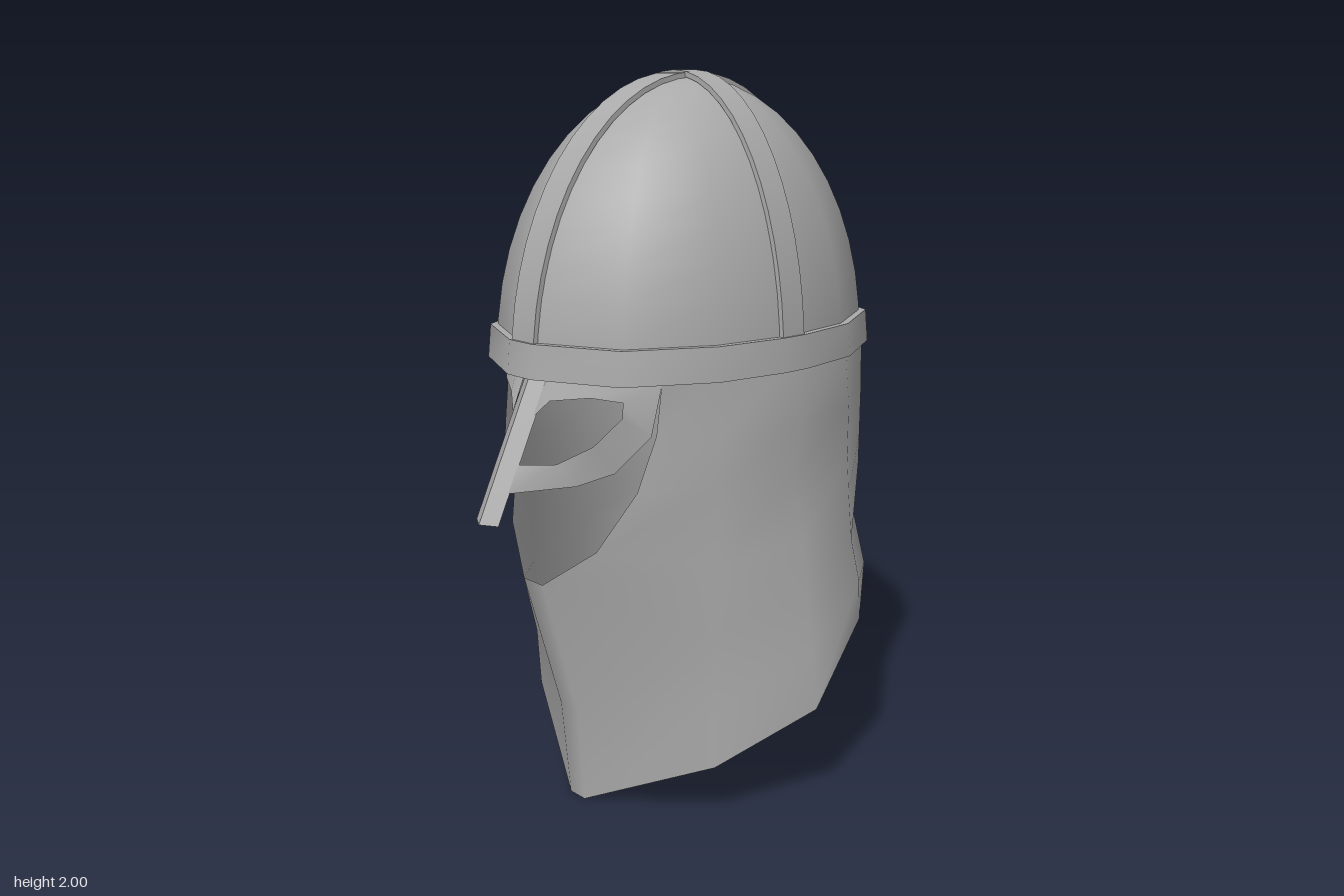
import * as THREE from 'three';
import { mergeVertices, toCreasedNormals } from 'three/addons/utils/BufferGeometryUtils.js';

const CZ = -0.07; // middle of the skull cap along z

// Surface through rows of points; keep(i, j) can leave quads out
function grid(rows, closed, keep = () => true) {
  const n = rows[0].length, index = [];
  for (let i = 0; i < rows.length - 1; i++) {
    for (let j = 0; j < (closed ? n : n - 1); j++) {
      if (!keep(i, j)) continue;
      const k = (j + 1) % n, a = i * n + j, b = i * n + k;
      index.push(a, b, b + n, a, b + n, a + n);
    }
  }
  let geo = new THREE.BufferGeometry();
  geo.setAttribute('position', new THREE.Float32BufferAttribute(rows.flat(2), 3));
  geo.setIndex(index);
  geo = mergeVertices(geo);
  geo.computeVertexNormals();
  return geo;
}

// Sixteen-sided plan outline, from the front round by +x
const quarter = [[0.045, 0.555], [0.26, 0.455], [0.375, 0.24], [0.405, 0.04]];
const half = [...quarter, ...[...quarter].reverse().map(([x, z]) => [x, -z])];
const plan = [...half, ...[...half].reverse().map(([x, z]) => [-x, z])];
const ring = (y, scale, offset = 0) => plan.map(([x, z]) =>
  [x * (scale + offset / 0.405), y, CZ + z * (scale + offset / 0.555)]);

// Half-elliptical strap, extruded to its width
function strap(radius, height, width) {
  const shape = new THREE.Shape();
  const N = 28, t = 0.014;
  for (let i = 0; i <= N; i++) {
    const a = Math.PI * i / N;
    shape[i ? 'lineTo' : 'moveTo'](radius * Math.cos(a), height * Math.sin(a));
  }
  for (let i = N; i >= 0; i--) {
    const a = Math.PI * i / N;
    shape.lineTo((radius - t) * Math.cos(a), (height - t) * Math.sin(a));
  }
  const geo = new THREE.ExtrudeGeometry(shape, { depth: width, bevelEnabled: false });
  geo.translate(0, 0, -width / 2);
  return toCreasedNormals(geo, 0.6);
}

export function createModel() {
  const group = new THREE.Group();
  const steel = new THREE.MeshStandardMaterial({ color: 0xaaaaaa, side: THREE.DoubleSide });
  steel.name = 'steel grey';
  const add = (name, geo, parent = group) => {
    const mesh = new THREE.Mesh(geo, steel);
    mesh.name = name;
    parent.add(mesh);
    return mesh;
  };

  // Skull cap
  const domeRows = [];
  for (let i = 0; i <= 12; i++) {
    const a = Math.PI / 2 * i / 12;
    domeRows.push(ring(1.25 + 0.735 * Math.sin(a), i === 12 ? 0 : Math.cos(a)));
  }
  add('skullCap', grid(domeRows, true));

  // Crossing straps over the cap
  const ridge = add('ridgeStrap', strap(0.568, 0.745, 0.09));
  ridge.rotation.y = Math.PI / 2;
  ridge.position.set(0, 1.25, CZ);
  add('crossStrap', strap(0.418, 0.75, 0.08)).position.set(0, 1.25, CZ);

  // Brow band
  const band = grid([ring(1.24, 1, -0.005), ring(1.24, 1, 0.024),
    ring(1.33, 1, 0.016), ring(1.33, 1, -0.015)], true);
  add('browBand', toCreasedNormals(band, 0.9));

  // Neck curtain: columns from the back to the edge of the face opening
  const columns = [
    [[0.1, 1.27, -0.62], [0.1, 1.1, -0.6], [0.1, 0.96, -0.603], [0.1, 0.87, -0.605],
      [0.1, 0.75, -0.57], [0.1, 0.52, -0.65], [0.1, 0.36, -0.62]],
    [[0.265, 1.27, -0.53], [0.27, 1.1, -0.53], [0.27, 0.96, -0.53], [0.27, 0.87, -0.53],
      [0.27, 0.74, -0.51], [0.29, 0.56, -0.55], [0.28, 0.44, -0.53]],
    [[0.385, 1.27, -0.315], [0.4, 1.1, -0.32], [0.4, 0.96, -0.32], [0.41, 0.85, -0.32],
      [0.425, 0.72, -0.32], [0.45, 0.6, -0.33], [0.46, 0.49, -0.325]],
    [[0.415, 1.27, -0.08], [0.44, 1.1, -0.08], [0.42, 0.96, -0.08], [0.455, 0.77, -0.08],
      [0.475, 0.62, -0.08], [0.5, 0.47, -0.08], [0.52, 0.31, -0.08]],
    [[0.38, 1.27, 0.165], [0.39, 1.1, 0.16], [0.385, 0.96, 0.17], [0.39, 0.75, 0.18],
      [0.39, 0.56, 0.18], [0.39, 0.34, 0.175], [0.38, 0.17, 0.17]],
    [[0.305, 1.27, 0.29], [0.285, 1.1, 0.295], [0.255, 0.95, 0.335], [0.18, 0.79, 0.41],
      [0.04, 0.68, 0.48], [0.035, 0.28, 0.365], [0.03, 0, 0.34]],
  ];
  const flip = ([x, y, z]) => [-x, y, z];
  const around = [...columns].reverse().map(c => c.map(flip)).concat(columns);
  const curtainRows = columns[0].map((_, i) => around.map(c => c[i]));
  // The front stays open above the fifth row
  add('neckCurtain', grid(curtainRows, true, (i, j) => j < around.length - 1 || i >= 4));

  // Eye guard: a frame round each eye, as inner and outer outlines
  const mask = new THREE.Group();
  mask.name = 'eyeGuard';
  group.add(mask);
  const inner = [[0.042, 1.14, 0.5], [0.08, 1.185, 0.475], [0.175, 1.2, 0.42], [0.24, 1.19, 0.367],
    [0.24, 1.15, 0.37], [0.185, 1.075, 0.42], [0.11, 1.025, 0.48], [0.045, 1.025, 0.553]];
  const outer = [[0.045, 1.26, 0.445], [0.08, 1.26, 0.45], [0.18, 1.26, 0.405], [0.302, 1.24, 0.29],
    [0.283, 1.1, 0.31], [0.21, 1, 0.37], [0.14, 0.965, 0.44], [0.045, 0.955, 0.586]];
  add('leftEyeFrame', grid([inner, outer], false), mask);
  add('rightEyeFrame', grid([outer.map(flip), inner.map(flip)], false), mask);

  // Nose guard, folded along its middle
  const noseRows = [0.875, 0.955, 1.025, 1.14, 1.26].map(y => {
    const z = 0.475 + (1.24 - y) * 0.475;
    return [[-0.047, y, z - 0.027], [0, y, z], [0.047, y, z - 0.027]];
  });
  add('noseGuard', toCreasedNormals(grid(noseRows, false), 0.4), mask);

  return group;
}
